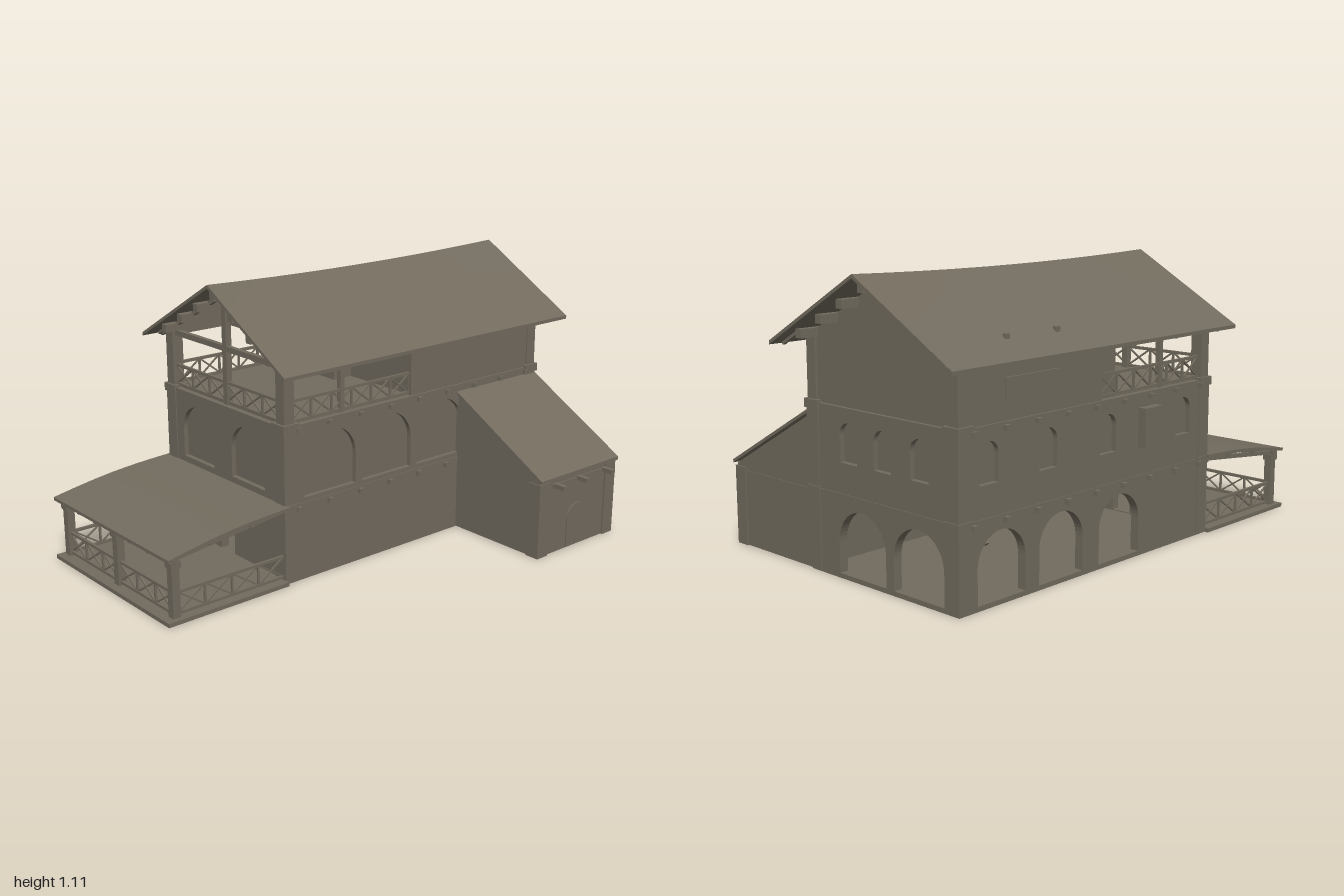
import * as THREE from 'three';

const plaster = new THREE.MeshStandardMaterial({ color: 0x726b5e });
plaster.name = 'weatheredPlaster';

// Main block limits, and the ridge line
const L = -0.46, R = 0.9, B = -0.6, F = 0.17, RIDGE = -0.21;

function add(parent, name, geo) {
  const m = new THREE.Mesh(geo, plaster);
  m.name = name;
  parent.add(m);
  return m;
}

// Box from its minimum and maximum limits
function box(parent, name, x0, x1, y0, y1, z0, z1) {
  const m = add(parent, name, new THREE.BoxGeometry(x1 - x0, y1 - y0, z1 - z0));
  m.position.set((x0 + x1) / 2, (y0 + y1) / 2, (z0 + z1) / 2);
  return m;
}

// Square bar between two points
function bar(parent, name, a, b, t) {
  const p = new THREE.Vector3(...a), q = new THREE.Vector3(...b);
  const m = add(parent, name, new THREE.BoxGeometry(t, t, p.distanceTo(q)));
  m.position.copy(p).add(q).multiplyScalar(0.5);
  m.lookAt(q);
  return m;
}

// Round-headed outline: centre, width, bottom, top
function arch(c, w, y0, y1, Type = THREE.Path) {
  const r = w / 2, s = new Type();
  s.moveTo(c - r, y0);
  s.lineTo(c + r, y0);
  s.lineTo(c + r, y1 - r);
  s.absarc(c, y1 - r, r, 0, Math.PI, false);
  s.lineTo(c - r, y0);
  return s;
}

function polygon(points) {
  return new THREE.Shape(points.map(p => new THREE.Vector2(...p)));
}

function extrude(shape, depth) {
  return new THREE.ExtrudeGeometry(shape, { depth, bevelEnabled: false, curveSegments: 12 });
}

// Wall pierced by arches, along x (at depth z) or along z (outer face on x)
function wall(parent, name, a, b, y0, y1, openings, t, at, alongZ) {
  const s = polygon([[a, y0], [b, y0], [b, y1], [a, y1]]);
  openings.forEach(o => s.holes.push(arch(...o)));
  const m = add(parent, name, extrude(s, t));
  if (alongZ) {
    m.rotation.y = -Math.PI / 2;
    m.position.x = at;
  } else m.position.z = at;
}

// Solid with a z-y outline, running from x0 to x1
function prism(parent, name, points, x0, x1) {
  const m = add(parent, name, extrude(polygon(points), x1 - x0));
  m.rotation.y = -Math.PI / 2;
  m.position.x = x1;
}

// Roof sheet whose top follows height(x, z)
function sheet(parent, name, x0, x1, z0, z1, t, height) {
  const g = new THREE.BoxGeometry(x1 - x0, t, z1 - z0, 10, 1, 4);
  g.translate((x0 + x1) / 2, 0, (z0 + z1) / 2);
  const p = g.attributes.position;
  for (let i = 0; i < p.count; i++)
    p.setY(i, height(p.getX(i), p.getZ(i)) - (p.getY(i) < 0 ? t : 0));
  g.computeVertexNormals();
  add(parent, name, g);
}

// Railing with crossed braces, from (x0,z0) to (x1,z1)
function railing(parent, name, x0, z0, x1, z1, y0, y1, n) {
  const g = new THREE.Group();
  g.name = name;
  parent.add(g);
  const at = (f, y) => [x0 + (x1 - x0) * f, y, z0 + (z1 - z0) * f];
  bar(g, 'topRail', at(0, y1), at(1, y1), 0.011);
  bar(g, 'bottomRail', at(0, y0), at(1, y0), 0.011);
  for (let i = 0; i < n; i++) {
    const a = i / n, b = (i + 1) / n;
    bar(g, 'brace', at(a, y0), at(b, y1), 0.006);
    bar(g, 'brace', at(a, y1), at(b, y0), 0.006);
    bar(g, 'baluster', at(b, y0), at(b, y1), 0.008);
  }
}

const mainRoof = (x, z) => {
  const u = Math.abs(z - RIDGE) / 0.465;
  return 1.095 - 0.25 * u + 0.015 * (1 - u) * ((x - 0.24) / 0.76) ** 2;
};
const porchRoof = x => 0.325 - 0.062 * ((-0.46 - x) / 0.54) + 0.012 * Math.sin((x + 0.46) / 0.54 * Math.PI * -1);

export function createModel() {
  const house = new THREE.Group();
  house.name = 'house';
  const part = name => {
    const g = new THREE.Group();
    g.name = name;
    house.add(g);
    return g;
  };

  // Lower two storeys: pierced outer walls around a solid upper core
  const walls = part('walls');
  const T = 0.035;
  box(walls, 'baseSlab', L, R, 0.004, 0.018, B, F);
  wall(walls, 'frontWall', L, R, 0.018, 0.625,
    [-0.24, 0.05, 0.34].map(c => [c, 0.255, 0.335, 0.585]), T, F - T);
  const backHoles = [0.7, 0.4, 0.08].map(c => [c, 0.23, 0.022, 0.265]);
  const backWindows = [0.76, 0.47, 0.15, -0.07, -0.3].map(c => [c, 0.09, 0.43, 0.575]);
  wall(walls, 'backWall', L, R, 0.018, 0.625, [...backHoles, ...backWindows], T, B);
  wall(walls, 'rightEndWall', B + T, F - T, 0.018, 0.625, [
    [-0.115, 0.25, 0.022, 0.265], [-0.405, 0.25, 0.022, 0.265],
    ...[-0.05, -0.23, -0.415].map(c => [c, 0.09, 0.43, 0.575])], T, R, true);
  wall(walls, 'leftEndWall', B + T, F - T, 0.018, 0.625, [
    [-0.205, 0.09, 0.022, 0.21], [-0.39, 0.21, 0.35, 0.575], [-0.06, 0.21, 0.35, 0.575]], T, L + T, true);
  box(walls, 'middleStorey', L + 0.02, R - 0.02, 0.315, 0.632, B + 0.02, F - 0.02);
  box(walls, 'wallShutter', -0.12, -0.02, 0.425, 0.575, B - 0.038, B - 0.004);

  // Ground floor interior
  bar(walls, 'stairStringer', [0.3, 0.17, 0.02], [0.3, 0.022, -0.13], 0.02);
  box(walls, 'doorLintel', L + T, L + T + 0.02, 0.17, 0.205, -0.3, -0.13);

  // Closed top storey with its gable, and the loggia's inner room
  const gable = [[B + 0.005, 0.625], [F - 0.005, 0.625], [F - 0.005, 0.868], [RIDGE, 1.075], [B + 0.005, 0.868]];
  prism(walls, 'topStorey', gable, 0.18, R - 0.01);
  box(walls, 'innerRoom', 0.09, 0.18, 0.625, 0.86, B + 0.02, -0.2);
  box(walls, 'backPanel', 0.42, 0.68, 0.7, 0.775, B - 0.003, B + 0.01);

  // Corner piers with caps, and floor bands
  for (const [x, sx] of [[L, 1], [R, -1]])
    for (const [z, sz] of [[B, 1], [F, -1]]) {
      const pier = (name, out, into, y0, y1) => {
        const xs = [x - sx * out, x + sx * into].sort((a, b) => a - b);
        const zs = [z - sz * out, z + sz * into].sort((a, b) => a - b);
        box(walls, name, ...xs, y0, y1, ...zs);
      };
      pier('cornerPier', 0.004, 0.058, 0.01, 0.61);
      pier('upperPier', 0, 0.048, 0.61, 0.87);
      pier('pierCap', 0.01, 0.064, 0.605, 0.638);
      pier('pierCap', 0.008, 0.062, 0.292, 0.322);
    }
  for (const y of [0.31, 0.622])
    box(walls, 'floorBand', L - 0.003, R + 0.003, y - 0.007, y + 0.007, B - 0.003, F + 0.003);

  // Floor joists whose ends show on both long sides
  const joists = part('floorJoists');
  for (let i = 0; i < 9; i++) {
    const x = -0.4 + i * 0.155;
    box(joists, 'lowerJoist', x - 0.01, x + 0.01, 0.288, 0.308, B - 0.02, F + 0.015);
    box(joists, 'upperJoist', x - 0.01, x + 0.01, 0.602, 0.62, B - 0.02, F + 0.015);
  }

  // Open loggia
  const loggia = part('loggia');
  for (const z of [B + 0.02, F - 0.02]) {
    railing(loggia, 'loggiaRailing', L + 0.045, z, 0.18, z, 0.64, 0.718, 6);
    box(loggia, 'loggiaPost', -0.18, -0.16, 0.63, 0.85, z - 0.01, z + 0.01);
    box(loggia, 'wallPlate', L, 0.18, 0.838, 0.862, z - 0.012, z + 0.012);
  }
  railing(loggia, 'endRailing', L + 0.02, B + 0.04, L + 0.02, F - 0.04, 0.64, 0.718, 6);
  box(loggia, 'ridgePost', L + 0.01, L + 0.035, 0.63, 1.06, RIDGE - 0.013, RIDGE + 0.013);
  for (const x of [L + 0.022, -0.17, 0.07]) {
    box(loggia, 'tieBeam', x - 0.01, x + 0.01, 0.842, 0.864, B + 0.01, F - 0.01);
    for (const z of [-0.66, 0.235])
      bar(loggia, 'rafter', [x, mainRoof(x, z) - 0.025, z], [x, 1.066, RIDGE], 0.016);
  }

  // Main roof with sagging ridge, purlins and rafter tails
  const roof = part('mainRoof');
  sheet(roof, 'frontSlope', -0.52, 1, RIDGE, 0.253, 0.014, mainRoof);
  sheet(roof, 'backSlope', -0.52, 1, -0.68, RIDGE, 0.014, mainRoof);
  for (let i = -3; i <= 3; i++) {
    const z = RIDGE + i * 0.113, y = mainRoof(0.24, z) - 0.034;
    box(roof, 'purlin', -0.5, 0.965, y - 0.016, y + 0.016, z - 0.015, z + 0.015);
  }
  for (let i = 0; i < 10; i++) {
    const x = -0.45 + i * 0.155;
    for (const s of [-1, 1]) {
      const z0 = RIDGE + s * 0.36, z1 = RIDGE + s * 0.452;
      bar(roof, 'rafterTail', [x, mainRoof(x, z0) - 0.02, z0], [x, mainRoof(x, z1) - 0.02, z1], 0.012);
    }
  }
  for (const x of [0.4, 0.65]) box(roof, 'roofPeg', x - 0.01, x + 0.01, 0.88, 0.915, -0.58, -0.565);

  // Lean-to annex at the front
  const annex = part('annex');
  prism(annex, 'annexBody', [[F - 0.01, 0.006], [0.625, 0.006], [0.625, 0.325], [F - 0.01, 0.582]], 0.445, R - 0.004);
  sheet(annex, 'annexRoof', 0.435, 0.905, F - 0.01, 0.643, 0.013, (x, z) => 0.598 - 0.262 * (z - F) / 0.473);
  for (const x of [0.44, 0.842]) box(annex, 'annexPier', x, x + 0.06, 0.005, 0.315, 0.572, 0.632);
  box(annex, 'annexLintel', 0.52, 0.84, 0.284, 0.3, 0.6, 0.63);
  box(annex, 'annexBand', 0.89, 0.899, 0.294, 0.304, F, 0.6);
  for (const x of [0.535, 0.675, 0.83]) box(annex, 'beamEnd', x - 0.01, x + 0.01, 0.286, 0.304, 0.6, 0.68);
  add(annex, 'annexDoor', extrude(arch(0.675, 0.12, 0.01, 0.19, THREE.Shape), 0.005)).position.z = 0.625;

  // Side porch
  const porch = part('porch');
  box(porch, 'porchDeck', -1, L, 0.006, 0.022, -0.62, 0.19);
  sheet(porch, 'porchRoof', -0.995, L + 0.005, -0.62, 0.195, 0.013, porchRoof);
  for (const z of [-0.585, -0.215, 0.155]) {
    box(porch, 'porchPost', -0.968, -0.936, 0.02, 0.245, z - 0.016, z + 0.016);
    box(porch, 'postCap', -0.973, -0.931, 0.215, 0.24, z - 0.021, z + 0.021);
  }
  box(porch, 'porchBeam', -0.966, -0.94, 0.236, 0.258, -0.61, 0.18);
  for (let i = 0; i < 7; i++) {
    const z = -0.585 + i * 0.1233;
    bar(porch, 'porchRafter', [-0.98, 0.243, z], [L, 0.303, z], 0.016);
  }
  for (const x of [-0.8, -0.62]) box(porch, 'porchBatten', x - 0.01, x + 0.01, porchRoof(x) - 0.03, porchRoof(x) - 0.01, -0.61, 0.185);
  for (const z of [-0.585, 0.155]) railing(porch, 'porchRailing', -0.94, z, L, z, 0.034, 0.116, 4);
  railing(porch, 'porchEndRailing', -0.952, -0.585, -0.952, 0.155, 0.034, 0.116, 6);
  box(porch, 'doorHead', L - 0.035, L, 0.168, 0.204, -0.28, -0.13);

  return house;
}
